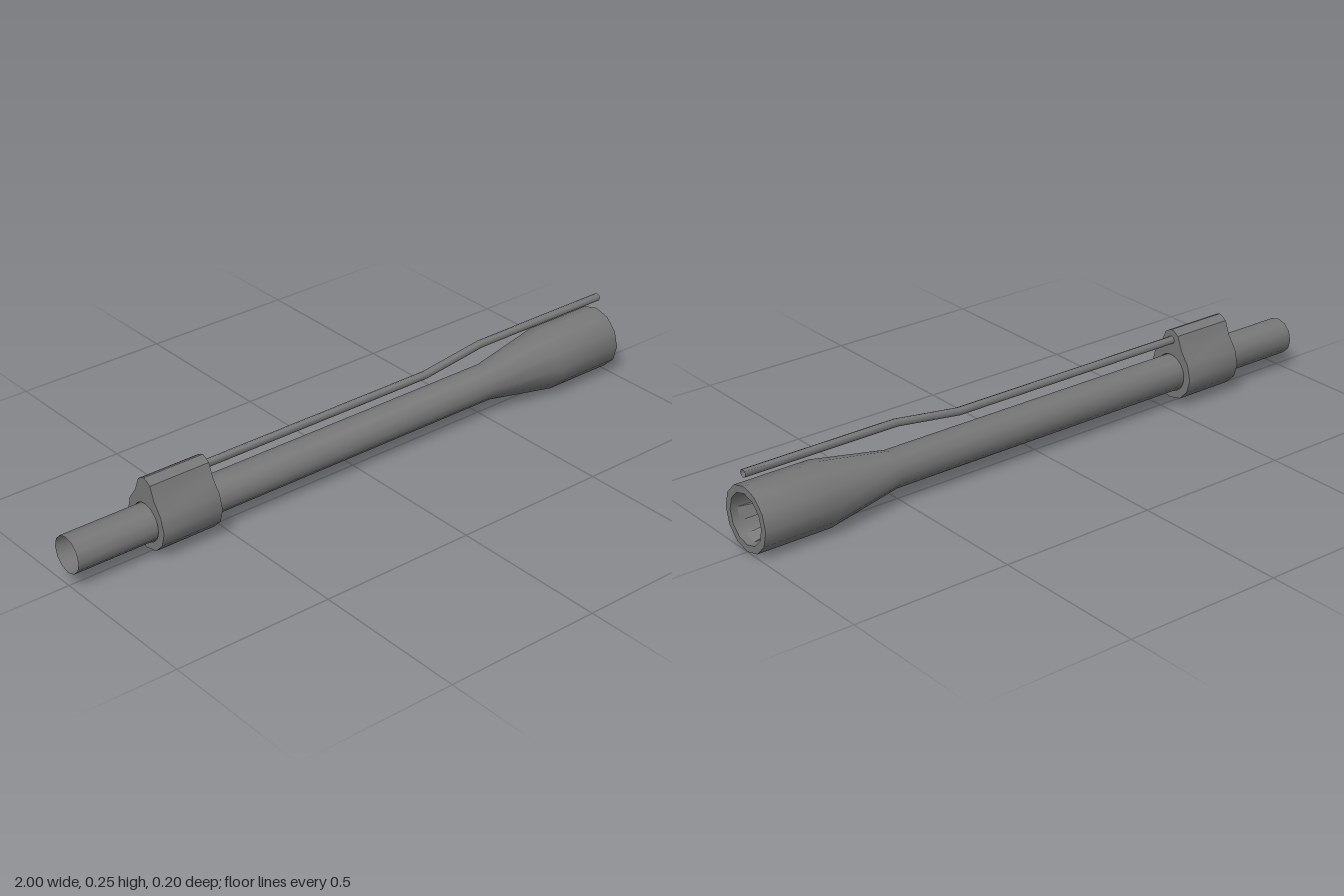
import * as THREE from 'three';
import { toCreasedNormals } from 'three/addons/utils/BufferGeometryUtils.js';

const AXIS_Y = 0.1;

export function createModel() {
  const model = new THREE.Group();
  const material = new THREE.MeshStandardMaterial({ color: 0x777777, side: THREE.DoubleSide });

  function add(name, geometry, y = 0, parent = model) {
    const mesh = new THREE.Mesh(geometry, material);
    mesh.name = name;
    mesh.position.y = y;
    parent.add(mesh);
    return mesh;
  }

  // Twelve-sided barrel: open muzzle, flared breech, recessed socket and stepped bore
  const profile = [
    [0.057, -1], [0.057, 0.52], [0.099, 0.76], [0.099, 1],
    [0.077, 1], [0.077, 0.8], [0.04, 0.8], [0.04, 0.77], [0.031, 0.77], [0.031, 0.6],
  ].map(([r, x]) => new THREE.Vector2(r, x));
  const barrel = new THREE.LatheGeometry(profile, 12);
  barrel.rotateZ(-Math.PI / 2);
  add('barrel', toCreasedNormals(barrel, 0.6), AXIS_Y);

  // Six ramped lugs, each filling every second side of the socket
  const lugs = new THREE.Group();
  lugs.name = 'socketLugs';
  lugs.position.y = AXIS_Y;
  model.add(lugs);
  const wedge = new THREE.Shape([
    new THREE.Vector2(0.98, 0.075), new THREE.Vector2(0.8, 0.075),
    new THREE.Vector2(0.8, 0.057), new THREE.Vector2(0.9, 0.057),
  ]);
  const lug = new THREE.ExtrudeGeometry(wedge, { depth: 2, bevelEnabled: false });
  const lugPoints = lug.attributes.position;
  for (let i = 0; i < lugPoints.count; i++) {
    // Sides follow the radial lines of a 30 degree sector
    lugPoints.setZ(i, (lugPoints.getZ(i) - 1) * lugPoints.getY(i) * Math.tan(Math.PI / 12));
  }
  lug.computeVertexNormals();
  for (let i = 0; i < 6; i++) {
    add('lug', lug, 0, lugs).rotation.x = THREE.MathUtils.degToRad(15 + 60 * i - 90);
  }

  // Block clamped round the barrel, with a raised lobe for the thin tube
  const half = [
    [0, -0.083], [0.043, -0.074], [0.074, -0.043], [0.086, 0], [0.074, 0.046],
    [0.045, 0.085], [0.028, 0.128], [0.012, 0.138], [0, 0.142],
  ];
  const otherHalf = half.slice(1, -1).reverse().map(([z, y]) => [-z, y]);
  const outline = new THREE.Shape([...half, ...otherHalf].map(([z, y]) => new THREE.Vector2(z, y)));
  const hole = new THREE.Path();
  hole.absarc(0, 0, 0.059, 0, Math.PI * 2, true);
  outline.holes.push(hole);
  const block = new THREE.ExtrudeGeometry(outline, { depth: 0.2, bevelEnabled: false, curveSegments: 12 });
  block.rotateY(Math.PI / 2);
  block.translate(-0.74, 0, 0);
  add('clampBlock', toCreasedNormals(block, 0.6), AXIS_Y);

  // Thin open tube: a straight pipe whose rings are moved to the stepped path
  const path = [[-0.7, 0.208], [0.28, 0.208], [0.5, 0.238], [1, 0.238]];
  const tube = new THREE.CylinderGeometry(0.0125, 0.0125, 3, 8, 3, true);
  tube.rotateZ(-Math.PI / 2);
  const p = tube.attributes.position;
  for (let i = 0; i < p.count; i++) {
    const [x, y] = path[Math.round(p.getX(i) + 1.5)];
    p.setXYZ(i, x, p.getY(i) + y, p.getZ(i));
  }
  add('thinTube', toCreasedNormals(tube, 0.9));

  return model;
}
